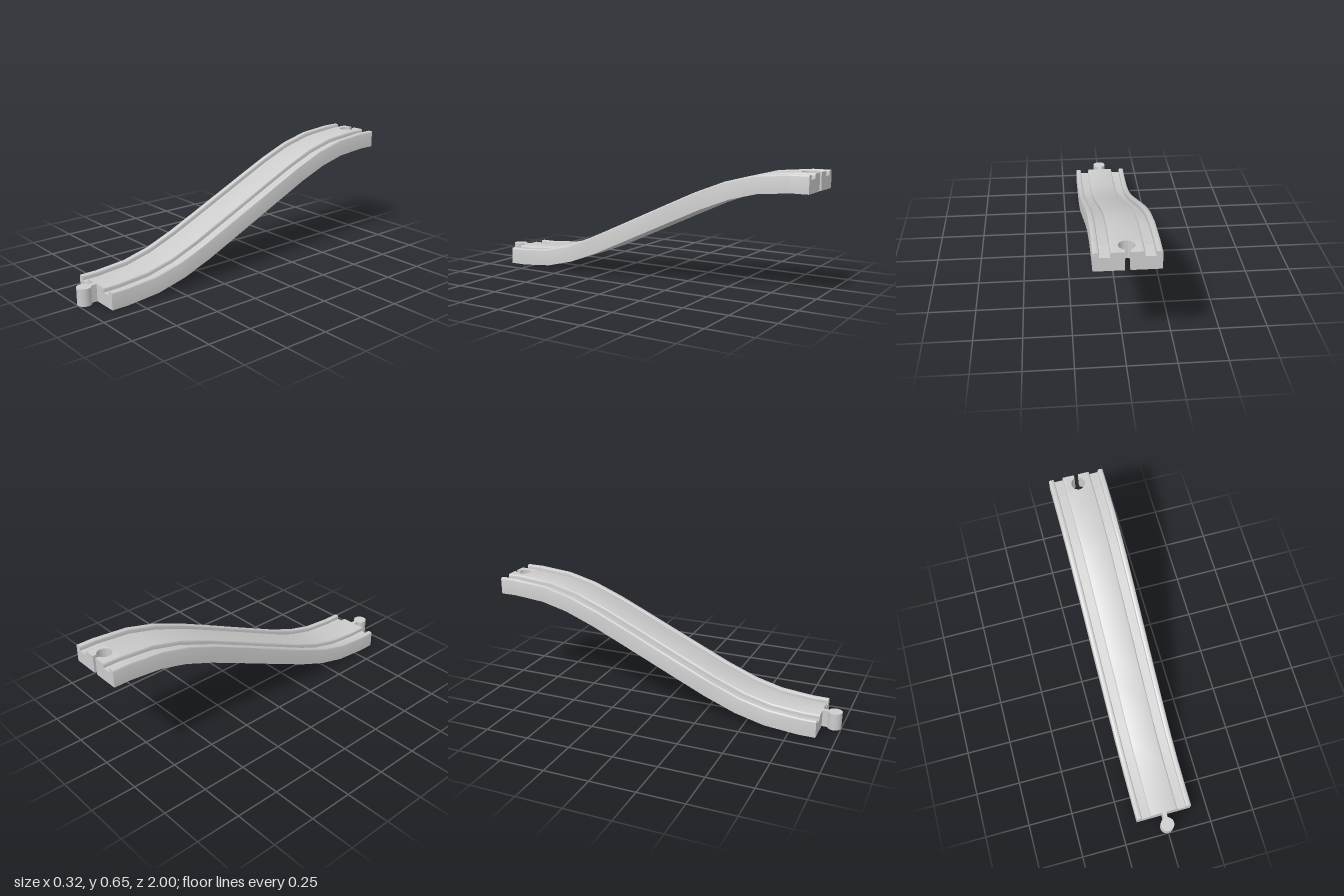
import * as THREE from 'three';
import { toCreasedNormals } from 'three/addons/utils/BufferGeometryUtils.js';

const T = 0.095;      // track thickness
const HALF = 0.158;   // half width
const RISE = 0.555;   // climb from front to back
const CORE = 0.06;    // half width of the block around the socket
const END = -0.9;     // where the socket block begins

// Centre line as [z, y]: a half curve, turned about its midpoint for the other half
const lower = [[0.8, 0.048], [0.62, 0.064], [0.46, 0.104], [0.29, 0.17], [0.12, 0.247]];
const path = [
  [0.895, T / 2], ...lower, [-0.05, 0.325],
  ...lower.map(([z, y]) => [-0.1 - z, RISE + T - y]).reverse(),
];

// Quarter-round corner between two angles
function corner(cx, cy, r, from) {
  return [0, 1, 2, 3].map(i => {
    const a = from + i * Math.PI / 6;
    return [cx + r * Math.cos(a), cy + r * Math.sin(a)];
  });
}

// Right half of the cross-section: outer wall, lip, wheel groove, centre edge
const R = 0.008;
const halfProfile = [
  [HALF, 0],
  ...corner(HALF - R, T - R, R, 0),
  ...corner(0.128 + R, T - R, R, Math.PI / 2),
  [0.128, 0.07], [0.078, 0.07],
  ...corner(0.078 - R, T - R, R, 0),
];
const mirror = pts => pts.map(([x, y]) => [-x, y]).reverse();

// Sweep a counterclockwise section along [z, y] points running towards -z
function sweep(section, line) {
  const pos = [], idx = [], n = section.length;
  line.forEach(([z, y], i) => {
    let dz = -1, dy = 0;
    if (i > 0 && i < line.length - 1) {
      dz = line[i + 1][0] - line[i - 1][0];
      dy = line[i + 1][1] - line[i - 1][1];
    }
    const len = Math.hypot(dz, dy);
    for (const [sx, sy] of section) {
      const h = sy - T / 2;
      pos.push(sx, y - h * dz / len, z + h * dy / len);
    }
  });
  for (let i = 0; i < line.length - 1; i++) {
    for (let j = 0; j < n; j++) {
      const a = i * n + j, b = i * n + (j + 1) % n;
      idx.push(a, a + n, b + n, a, b + n, b);
    }
  }
  // End caps
  const last = (line.length - 1) * n;
  const tris = THREE.ShapeUtils.triangulateShape(section.map(p => new THREE.Vector2(...p)), []);
  for (const [a, b, c] of tris) idx.push(a, b, c, last + a, last + c, last + b);
  const geo = new THREE.BufferGeometry();
  geo.setAttribute('position', new THREE.Float32BufferAttribute(pos, 3));
  geo.setIndex(idx);
  return toCreasedNormals(geo, 0.6);
}

export function createModel() {
  const model = new THREE.Group();
  model.name = 'risingTrack';
  const grey = new THREE.MeshStandardMaterial({ color: 0xcccccc });
  grey.name = 'light grey';
  const add = (name, geo) => {
    const mesh = new THREE.Mesh(geo, grey);
    mesh.name = name;
    model.add(mesh);
    return mesh;
  };

  // Main S-curved track with two wheel grooves
  add('trackBody', sweep([...halfProfile, ...mirror(halfProfile)], path));

  // Level back end: grooved sides around the socket
  const side = [...halfProfile, [CORE, T], [CORE, 0]];
  const level = [[END, RISE + T / 2], [-1, RISE + T / 2]];
  add('leftBackEnd', sweep(side, level));
  add('rightBackEnd', sweep(mirror(side), level));

  // Keyhole socket open to the back
  const slot = 0.012, r = 0.039, a = Math.acos(slot / r);
  const key = new THREE.Shape();
  key.moveTo(-CORE, -END);
  key.lineTo(CORE, -END);
  key.lineTo(CORE, 1);
  key.lineTo(slot, 1);
  key.absarc(0, 0.941, r, a, Math.PI - a, true);
  key.lineTo(-slot, 1);
  key.lineTo(-CORE, 1);
  key.closePath();
  const socket = new THREE.ExtrudeGeometry(key, { depth: T, bevelEnabled: false, curveSegments: 28 });
  socket.rotateX(-Math.PI / 2);
  add('socket', toCreasedNormals(socket, 0.6)).position.y = RISE;

  // Connector peg and its neck at the front
  add('peg', new THREE.CylinderGeometry(0.038, 0.038, T, 32)).position.set(0, T / 2, 0.962);
  add('pegNeck', new THREE.BoxGeometry(0.024, T, 0.05)).position.set(0, T / 2, 0.918);

  return model;
}
